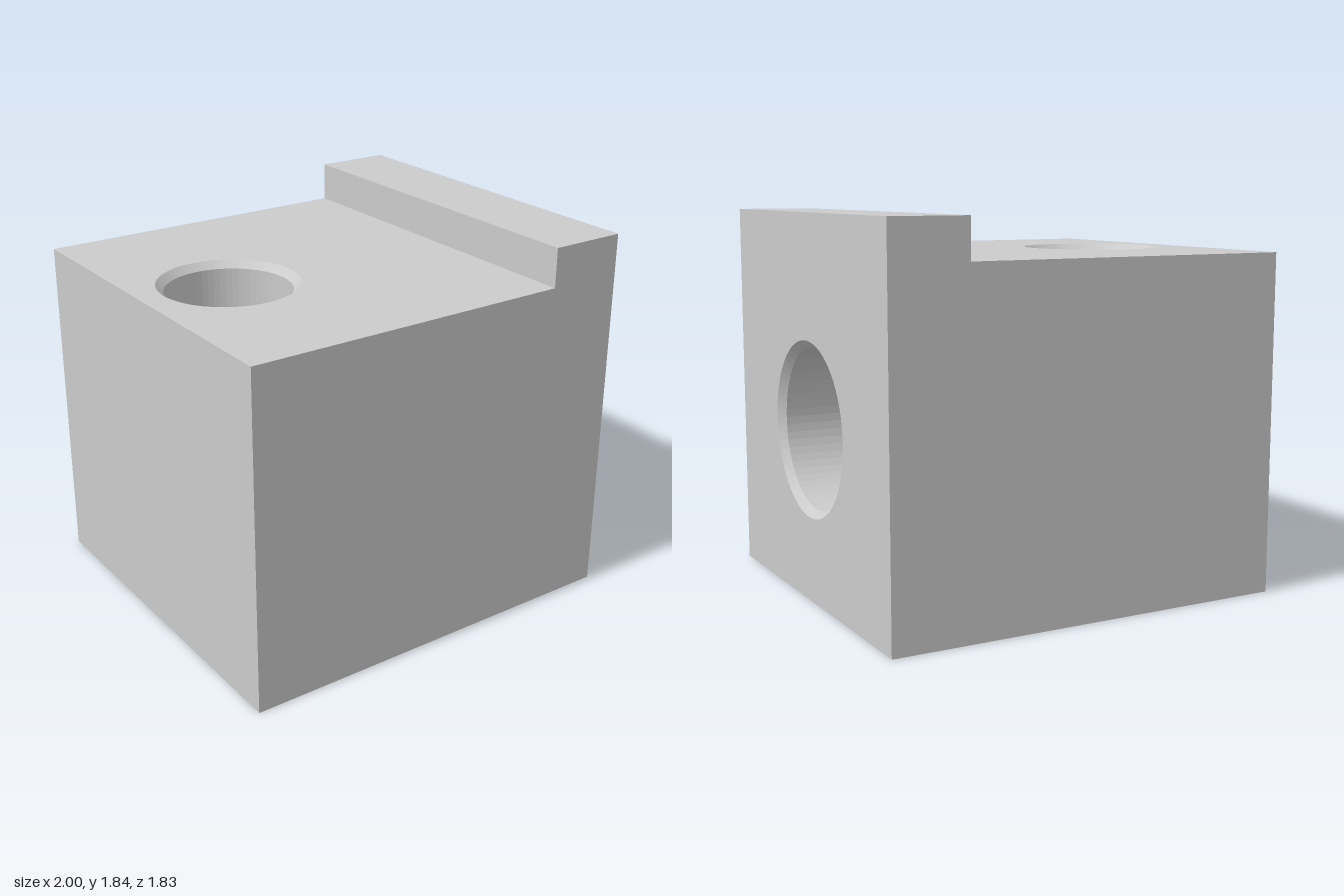
import * as THREE from 'three';

const SEG = 64;
const HX = 1, HZ = 0.917, FLOOR = 1.65, TOP = 1.84, STEP = 0.62;
const CH = 0.035; // chamfer size

// bores: through hole, wide vertical bore from below, sideways bore
const small = { x: -0.55, r: 0.30 };
const wide = { x: 0.386, r: 0.415, top: 1.225 };
const side = { y: 0.83, r: 0.385, end: -0.06 };

export function createModel() {
  const group = new THREE.Group();
  const solid = new THREE.MeshStandardMaterial({ color: 0xcccccc, flatShading: true });
  const open = new THREE.MeshStandardMaterial({ color: 0xcccccc, flatShading: true, side: THREE.DoubleSide });

  const add = (name, geometry, material) => {
    const mesh = new THREE.Mesh(geometry, material);
    mesh.name = name;
    group.add(mesh);
    return mesh;
  };

  // flat face from outline points, with round holes [x, y, radius]
  const panel = (name, pts, holes = []) => {
    const shape = new THREE.Shape(pts.map(p => new THREE.Vector2(p[0], p[1])));
    for (const [x, y, r] of holes) {
      shape.holes.push(new THREE.Path().absarc(x, y, r, 0, Math.PI * 2, true));
    }
    return add(name, new THREE.ShapeGeometry(shape, SEG / 2), solid);
  };
  const rect = (x0, x1, y0, y1) => [[x0, y0], [x1, y0], [x1, y1], [x0, y1]];

  // closed strip of quads between two rings a(t) and b(t)
  const strip = (name, a, b) => {
    const pos = [], idx = [];
    for (let i = 0; i <= SEG; i++) {
      const t = i / SEG * Math.PI * 2;
      pos.push(...a(t), ...b(t));
      if (i < SEG) {
        const k = i * 2;
        idx.push(k, k + 1, k + 2, k + 2, k + 1, k + 3);
      }
    }
    const g = new THREE.BufferGeometry();
    g.setAttribute('position', new THREE.Float32BufferAttribute(pos, 3));
    g.setIndex(idx);
    g.computeVertexNormals();
    add(name, g, open);
  };
  const ringY = (x, y, r) => t => [x + r * Math.cos(t), y, r * Math.sin(t)];
  const ringX = (x, y, r) => t => [x, y + r * Math.sin(t), r * Math.cos(t)];
  const half = (r, z) => Math.sqrt(Math.max(0, r * r - z * z));

  // stepped front and back
  const profile = [[-HX, 0], [HX, 0], [HX, TOP], [STEP, TOP], [STEP, FLOOR], [-HX, FLOOR]];
  panel('frontFace', profile).position.z = HZ;
  const back = panel('backFace', profile.map(([x, y]) => [-x, y]));
  back.rotation.y = Math.PI;
  back.position.z = -HZ;

  // side faces and step wall
  const left = panel('boredSideFace', rect(-HZ, HZ, 0, TOP), [[0, side.y, side.r + CH]]);
  left.rotation.y = Math.PI / 2;
  left.position.x = HX;
  const right = panel('plainSideFace', rect(-HZ, HZ, 0, FLOOR));
  right.rotation.y = -Math.PI / 2;
  right.position.x = -HX;
  const wall = panel('stepWall', rect(-HZ, HZ, FLOOR, TOP));
  wall.rotation.y = -Math.PI / 2;
  wall.position.x = STEP;

  // top faces and underside
  const deck = panel('topFace', rect(-HX, STEP, -HZ, HZ), [[small.x, 0, small.r + CH]]);
  deck.rotation.x = -Math.PI / 2;
  deck.position.y = FLOOR;
  const ridge = panel('ridgeTop', rect(STEP, HX, -HZ, HZ));
  ridge.rotation.x = -Math.PI / 2;
  ridge.position.y = TOP;
  const base = panel('underside', rect(-HX, HX, -HZ, HZ),
    [[small.x, 0, small.r], [wide.x, 0, wide.r + CH]]);
  base.rotation.x = Math.PI / 2;

  // through hole
  strip('throughHoleChamfer', ringY(small.x, FLOOR, small.r + CH), ringY(small.x, FLOOR - CH, small.r));
  strip('throughHoleWall', ringY(small.x, FLOOR - CH, small.r), ringY(small.x, 0, small.r));

  // wide bore from below, split where the sideways bore crosses it
  const crossY = s => t => {
    const [x, , z] = ringY(wide.x, 0, wide.r)(t);
    return [x, side.y + s * half(side.r, z), z];
  };
  strip('wideBoreChamfer', ringY(wide.x, 0, wide.r + CH), ringY(wide.x, CH, wide.r));
  strip('wideBoreLowerWall', ringY(wide.x, CH, wide.r), crossY(-1));
  strip('wideBoreUpperWall', crossY(1), ringY(wide.x, wide.top, wide.r));
  const roof = add('wideBoreEnd', new THREE.CircleGeometry(wide.r, SEG), solid);
  roof.rotation.x = Math.PI / 2;
  roof.position.set(wide.x, wide.top, 0);

  // sideways bore, split on both sides of the wide bore
  const crossX = s => t => {
    const [, y, z] = ringX(0, side.y, side.r)(t);
    return [wide.x + s * half(wide.r, z), y, z];
  };
  strip('sideBoreChamfer', ringX(HX, side.y, side.r + CH), ringX(HX - CH, side.y, side.r));
  strip('sideBoreOuterWall', ringX(HX - CH, side.y, side.r), crossX(1));
  strip('sideBoreInnerWall', crossX(-1), ringX(side.end, side.y, side.r));
  const end = add('sideBoreEnd', new THREE.CircleGeometry(side.r, SEG), solid);
  end.rotation.y = Math.PI / 2;
  end.position.set(side.end, side.y, 0);

  return group;
}
